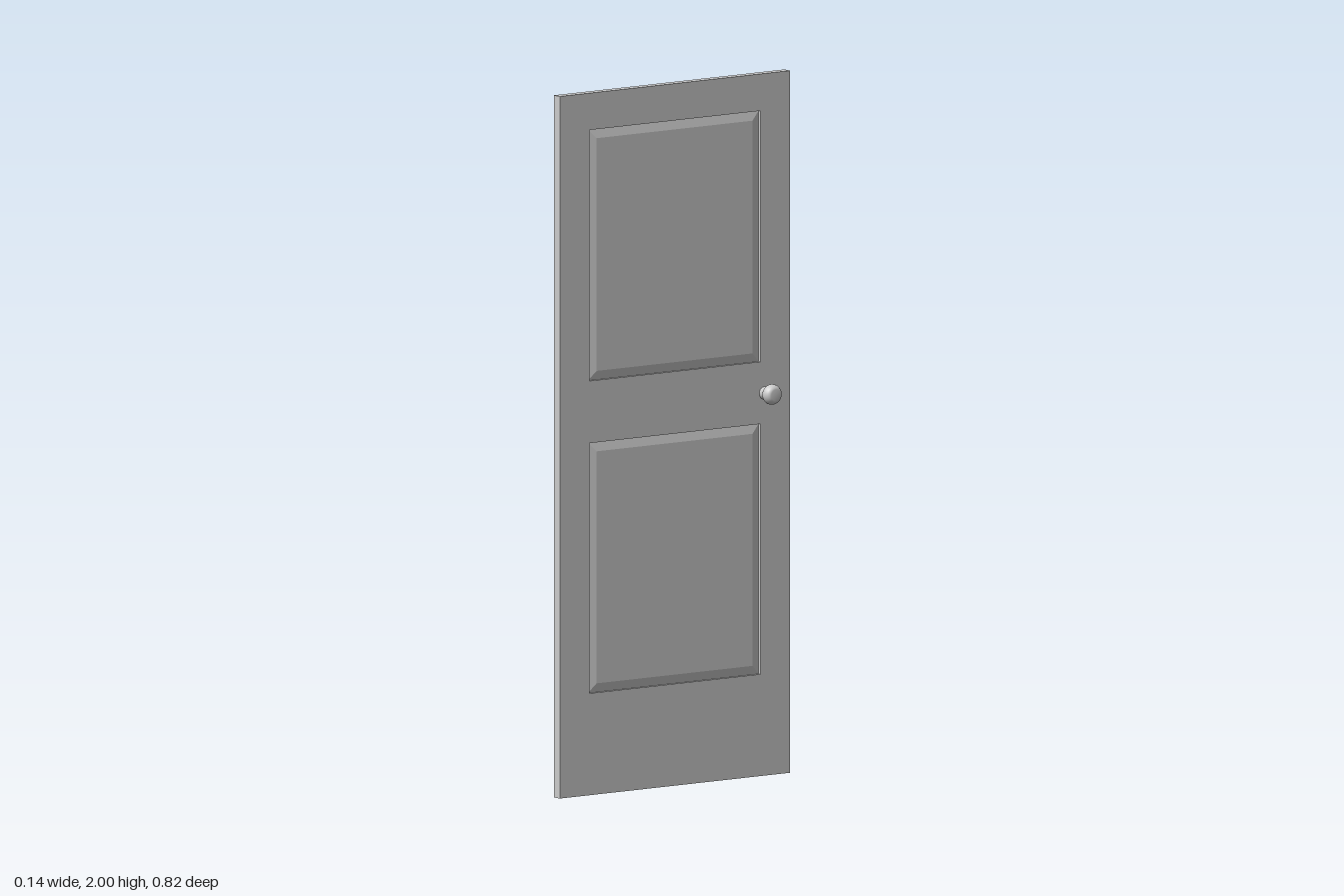
import * as THREE from 'three';

const material = new THREE.MeshStandardMaterial({ color: 0xcccccc });
const THICK = 0.028, HALF_WIDTH = 0.409;
const PANEL_HALF = 0.303, BEVEL = 0.026, RISE = 0.006;
const PANELS = [[0.29, 1.003], [1.18, 1.895]];

// Rectangle outline in the plane of the door
function rect(shape, half, y0, y1) {
  shape.moveTo(-half, y0);
  shape.lineTo(half, y0);
  shape.lineTo(half, y1);
  shape.lineTo(-half, y1);
  shape.closePath();
  return shape;
}

// Extrude symmetrically about x = 0, across the door's thickness
function slab(shape, depth, options) {
  const g = new THREE.ExtrudeGeometry(shape, { depth, bevelEnabled: false, ...options });
  g.translate(0, 0, -depth / 2);
  g.rotateY(Math.PI / 2);
  return g;
}

function add(parent, geometry, name) {
  const mesh = new THREE.Mesh(geometry, material);
  mesh.name = name;
  parent.add(mesh);
  return mesh;
}

export function createModel() {
  const door = new THREE.Group();
  door.name = 'door';

  // Stiles and rails with two panel openings
  const outline = rect(new THREE.Shape(), HALF_WIDTH, 0, 2);
  for (const [y0, y1] of PANELS) outline.holes.push(rect(new THREE.Path(), PANEL_HALF, y0, y1));
  add(door, slab(outline, THICK), 'frame');

  // Raised panels: sunk at the edge, bevelled up to a flat field on both faces
  PANELS.forEach(([y0, y1], i) => {
    const field = rect(new THREE.Shape(), PANEL_HALF - BEVEL, y0 + BEVEL, y1 - BEVEL);
    const geometry = slab(field, 0.012, {
      bevelEnabled: true, bevelSegments: 1, bevelSize: BEVEL, bevelThickness: RISE,
    });
    add(door, geometry, i ? 'upperPanel' : 'lowerPanel');
  });

  // Turned knob on each face: straight stem, rounded grip with a flat end
  const stem = new THREE.CylinderGeometry(0.018, 0.018, 0.03, 32, 1, true);
  stem.translate(0, 0.023, 0);
  const grip = new THREE.LatheGeometry([
    [0.017, 0.035], [0.022, 0.036], [0.026, 0.039], [0.0285, 0.044], [0.029, 0.05],
    [0.028, 0.056], [0.025, 0.062], [0.021, 0.066], [0.016, 0.0685], [0, 0.0685],
  ].map(([r, h]) => new THREE.Vector2(r, h)), 32);
  for (const side of [1, -1]) {
    const knob = new THREE.Group();
    knob.name = side > 0 ? 'leftKnob' : 'rightKnob';
    add(knob, stem, 'knobStem');
    add(knob, grip, 'knobGrip');
    knob.rotation.z = -side * Math.PI / 2;
    knob.position.set(0, 1.09, -0.317);
    door.add(knob);
  }
  return door;
}
